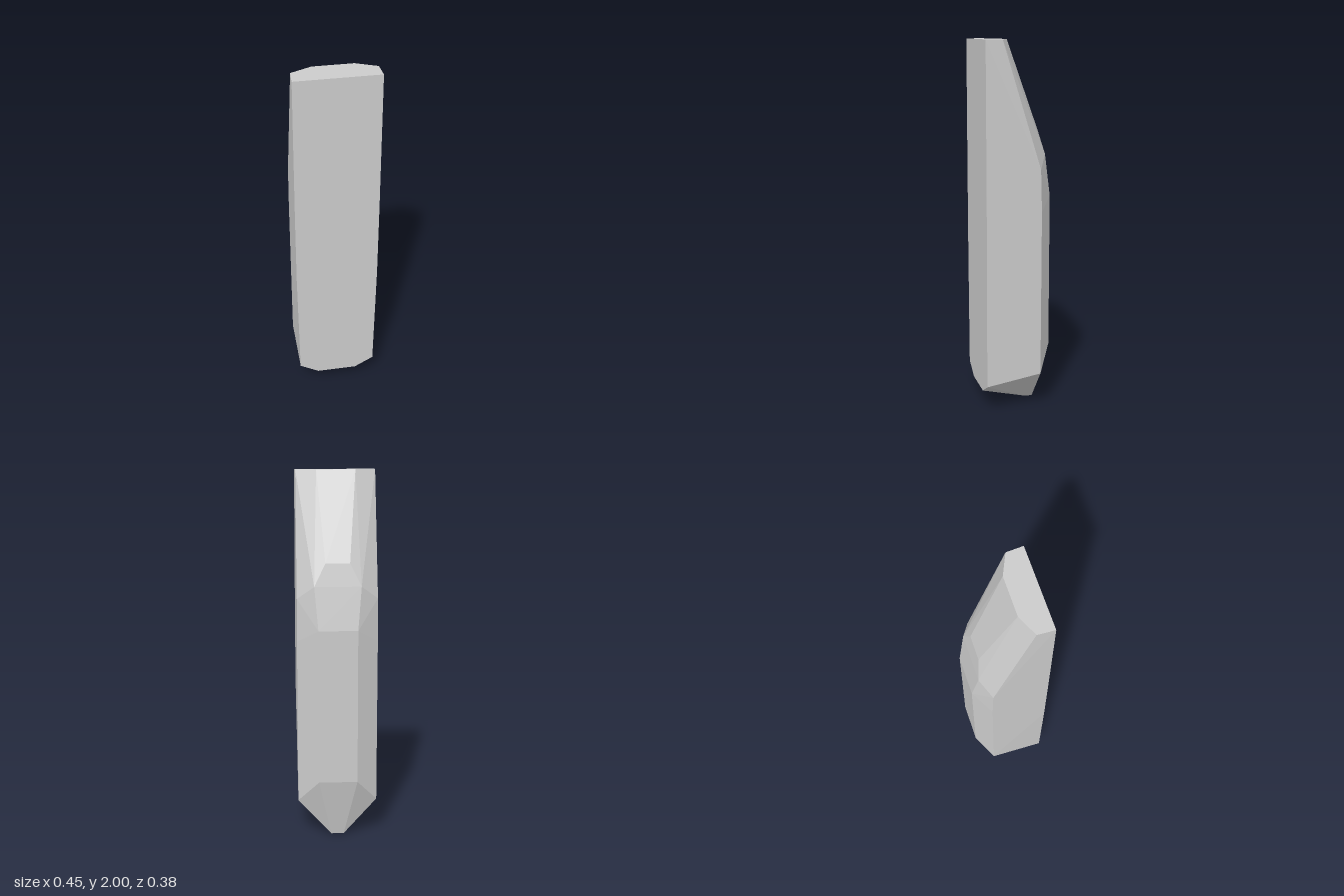
import * as THREE from 'three';
import { ConvexGeometry } from 'three/addons/geometries/ConvexGeometry.js';

export function createModel() {
  const group = new THREE.Group();
  group.name = 'facetedShard';

  // Corners of the left half [x, y, z]; each is mirrored across x = 0
  const corners = [
    // slanted top cut
    [0.22, 2, 0.19], [0.215, 2, 0.1], [0.105, 2, 0.05],
    // upper back bevel
    [0.065, 1.52, -0.132], [0.125, 1.4, -0.155], [0.216, 1.33, -0.106],
    // straight shaft
    [0.105, 1.17, -0.19], [0.217, 1.1, -0.112], [0.223, 1.2, 0.19],
    [0.223, 0.8, 0.19], [0.105, 0.33, -0.19], [0.217, 0.2, -0.11],
    // pointed foot
    [0.214, 0.15, 0.19], [0.11, 0.09, 0.19],
    [0.04, 0, -0.08], [0.035, 0, -0.115],
  ];
  const points = corners.flatMap(([x, y, z]) => [
    new THREE.Vector3(x, y, z), new THREE.Vector3(-x, y, z),
  ]);

  const shard = new THREE.Mesh(
    new ConvexGeometry(points),
    new THREE.MeshStandardMaterial({ color: 0xcccccc, flatShading: true }),
  );
  shard.name = 'shard';
  group.add(shard);
  return group;
}
